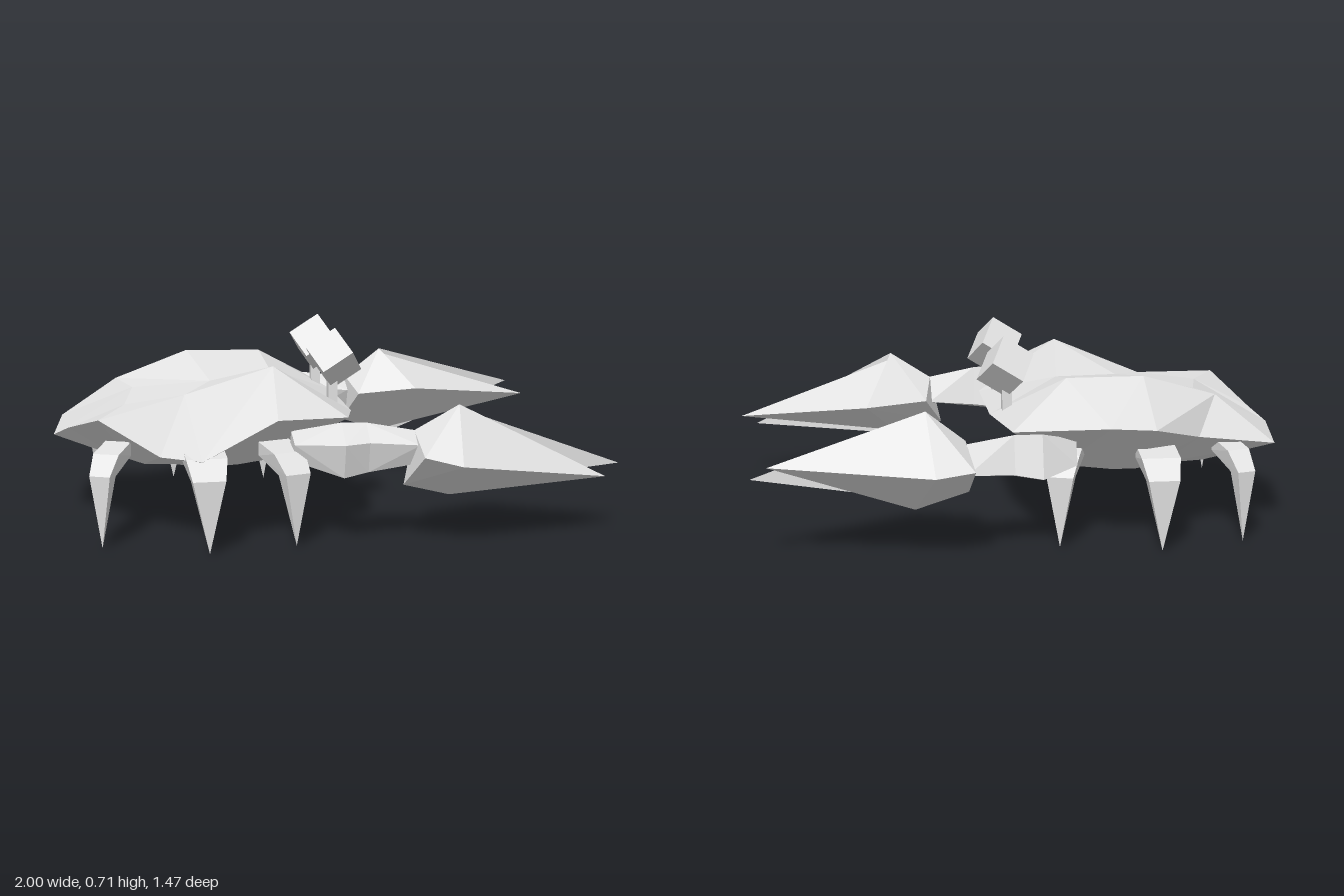
import * as THREE from 'three';
import { ConvexGeometry } from 'three/addons/geometries/ConvexGeometry.js';

const shellGrey = new THREE.MeshStandardMaterial({ color: 0xe2e2e2 });
shellGrey.name = 'shellGrey';

function add(parent, name, geometry) {
  const mesh = new THREE.Mesh(geometry, shellGrey);
  mesh.name = name;
  parent.add(mesh);
  return mesh;
}

// Faceted solid wrapped around a few corner points
function solid(parent, name, points) {
  return add(parent, name, new ConvexGeometry(points.map(p => new THREE.Vector3(...p))));
}

// Joins closed loops of equal length with flat triangles, skipping collapsed ones
function stitch(loops) {
  const pos = [];
  const tri = (a, b, c) => {
    if (a !== b && b !== c && a !== c) pos.push(...a, ...b, ...c);
  };
  for (let i = 0; i < loops.length - 1; i++) {
    const A = loops[i], B = loops[i + 1], n = A.length;
    for (let j = 0; j < n; j++) {
      const k = (j + 1) % n;
      tri(A[j], A[k], B[k]);
      tri(A[j], B[k], B[j]);
    }
  }
  const g = new THREE.BufferGeometry();
  g.setAttribute('position', new THREE.Float32BufferAttribute(pos, 3));
  g.computeVertexNormals();
  return g;
}

function buildShell(parent) {
  // Rim of the carapace, starting at the rear
  const rim = [
    [-1, 0.32, -0.03], [-0.95, 0.325, -0.37], [-0.65, 0.38, -0.46], [-0.46, 0.455, -0.64],
    [-0.3, 0.465, -0.64], [0.03, 0.43, -0.51], [0.08, 0.42, -0.2], [0.08, 0.415, 0.19],
    [0.02, 0.44, 0.44], [-0.25, 0.46, 0.55], [-0.52, 0.33, 0.58], [-0.65, 0.315, 0.41],
    [-0.86, 0.44, 0.33], [-0.95, 0.36, 0.05],
  ];
  // Humps on the back
  const a = [-0.22, 0.6, 0.25], b = [-0.18, 0.53, -0.09], c = [-0.19, 0.57, -0.29];
  const d = [-0.47, 0.575, -0.31], e = [-0.75, 0.485, -0.25], f = [-0.7, 0.475, -0.1];
  const h = [-0.53, 0.485, 0.14], i = [-0.75, 0.455, 0.13];
  const humps = [f, e, e, d, c, c, b, a, a, a, h, h, i, i];
  const crown = [-0.42, 0.51, 0.01], belly = [-0.45, 0.21, -0.05];
  // Narrow flat belly, a little higher at the front, so the flanks slope inwards
  const under = rim.map(([x, , z]) => [
    -0.45 + (x + 0.45) * 0.55, x > 0 ? 0.225 : 0.215, -0.06 + (z + 0.03) * 0.34,
  ]);
  add(parent, 'shell', stitch([rim.map(() => crown), humps, rim, under, rim.map(() => belly)]));
}

// Upper segment sloping out of the body and a spike pointing down
function buildLeg(parent, name, x, z, dx, dz, width) {
  const leg = new THREE.Group();
  leg.name = name;
  const len = Math.hypot(dx, dz), ux = dx / len, uz = dz / len;
  const at = (out, side, y) => [x + ux * out - uz * side, y, z + uz * out + ux * side];
  const upper = [], lower = [at(0.005, 0, 0.003)];
  for (const s of [-width / 2, width / 2]) {
    const knee = s * 0.8;
    upper.push(at(-0.18, s, 0.35), at(-0.18, s, 0.3), at(-0.05, s, 0.33), at(0.02, knee, 0.265), at(-0.04, knee, 0.255));
    lower.push(at(0.02, knee, 0.265), at(-0.04, knee, 0.255));
  }
  solid(leg, 'upperLeg', upper);
  solid(leg, 'lowerLeg', lower);
  parent.add(leg);
}

const mix = (p, q, t) => p.map((v, i) => v + (q[i] - v) * t);

// Rings are ordered top, outer, bottom, inner
function buildClaw(parent, name, armRings, wrist, knuckle, outerTip, innerTip) {
  const claw = new THREE.Group();
  claw.name = name;
  for (let i = 0; i < armRings.length - 1; i++) {
    solid(claw, 'arm', [...armRings[i], ...armRings[i + 1]]);
  }
  solid(claw, 'palm', [...wrist, ...knuckle]);
  const [top, outer, bottom, inner] = knuckle;
  solid(claw, 'outerFinger', [top, outer, bottom, outerTip]);
  // The inner finger starts a little apart, leaving a slit between the two
  solid(claw, 'innerFinger', [mix(top, inner, 0.14), inner, mix(bottom, inner, 0.14), innerTip]);
  parent.add(claw);
}

// Four-cornered arm section
const section = (x, y, z, hy, hz) => [
  [x, y + hy, z - hz * 0.3], [x, y + hy * 0.3, z + hz],
  [x, y - hy, z + hz * 0.5], [x, y - hy * 0.7, z - hz],
];

export function createModel() {
  const crab = new THREE.Group();
  crab.name = 'crab';
  buildShell(crab);

  // Eyes: tilted cubes on thin stalks
  for (const [z, side] of [[0.133, 'left'], [-0.222, 'right']]) {
    const eye = add(crab, side + 'Eye', new THREE.BoxGeometry(0.132, 0.13, 0.132));
    eye.position.set(0.025, 0.602, z);
    eye.rotation.set(0, Math.PI / 4, -1.01, 'ZYX');
    const stalk = add(crab, side + 'EyeStalk', new THREE.BoxGeometry(0.035, 0.14, 0.035));
    stalk.position.set(0.02, 0.505, z);
  }

  // Legs: knee position, outward direction, width
  const legs = [
    ['leftRearLeg', -0.86, 0.44, -0.45, 1, 0.095],
    ['leftMiddleLeg', -0.5, 0.585, 0, 1, 0.145],
    ['leftFrontLeg', -0.185, 0.53, 0.3, 1, 0.12],
    ['rightRearLeg', -0.805, -0.515, -0.25, -1, 0.085],
    ['rightMiddleLeg', -0.495, -0.6, 0, -1, 0.14],
    ['rightFrontLeg', -0.14, -0.515, 0.3, -1, 0.12],
  ];
  for (const leg of legs) buildLeg(crab, ...leg);

  // Claws
  buildClaw(crab, 'leftClaw',
    [section(-0.18, 0.34, 0.42, 0.05, 0.06), section(-0.02, 0.345, 0.54, 0.095, 0.065),
      section(0.07, 0.35, 0.53, 0.085, 0.055), section(0.25, 0.345, 0.53, 0.055, 0.06)],
    [[0.245, 0.4, 0.51], [0.24, 0.34, 0.7], [0.2, 0.21, 0.54], [0.27, 0.33, 0.39]],
    [[0.4, 0.495, 0.545], [0.37, 0.31, 0.735], [0.37, 0.165, 0.53], [0.51, 0.33, 0.3]],
    [0.94, 0.215, 0.565], [1, 0.255, 0.53]);
  buildClaw(crab, 'rightClaw',
    [section(-0.2, 0.34, -0.46, 0.05, 0.06), section(-0.07, 0.34, -0.53, 0.09, 0.065),
      section(0.03, 0.35, -0.53, 0.08, 0.055), section(0.2, 0.345, -0.54, 0.06, 0.065)],
    [[0.2, 0.41, -0.53], [0.18, 0.34, -0.7], [0.19, 0.23, -0.55], [0.23, 0.36, -0.4]],
    [[0.34, 0.52, -0.53], [0.32, 0.33, -0.735], [0.38, 0.17, -0.55], [0.45, 0.385, -0.345]],
    [0.895, 0.355, -0.61], [0.955, 0.305, -0.575]);

  return crab;
}
